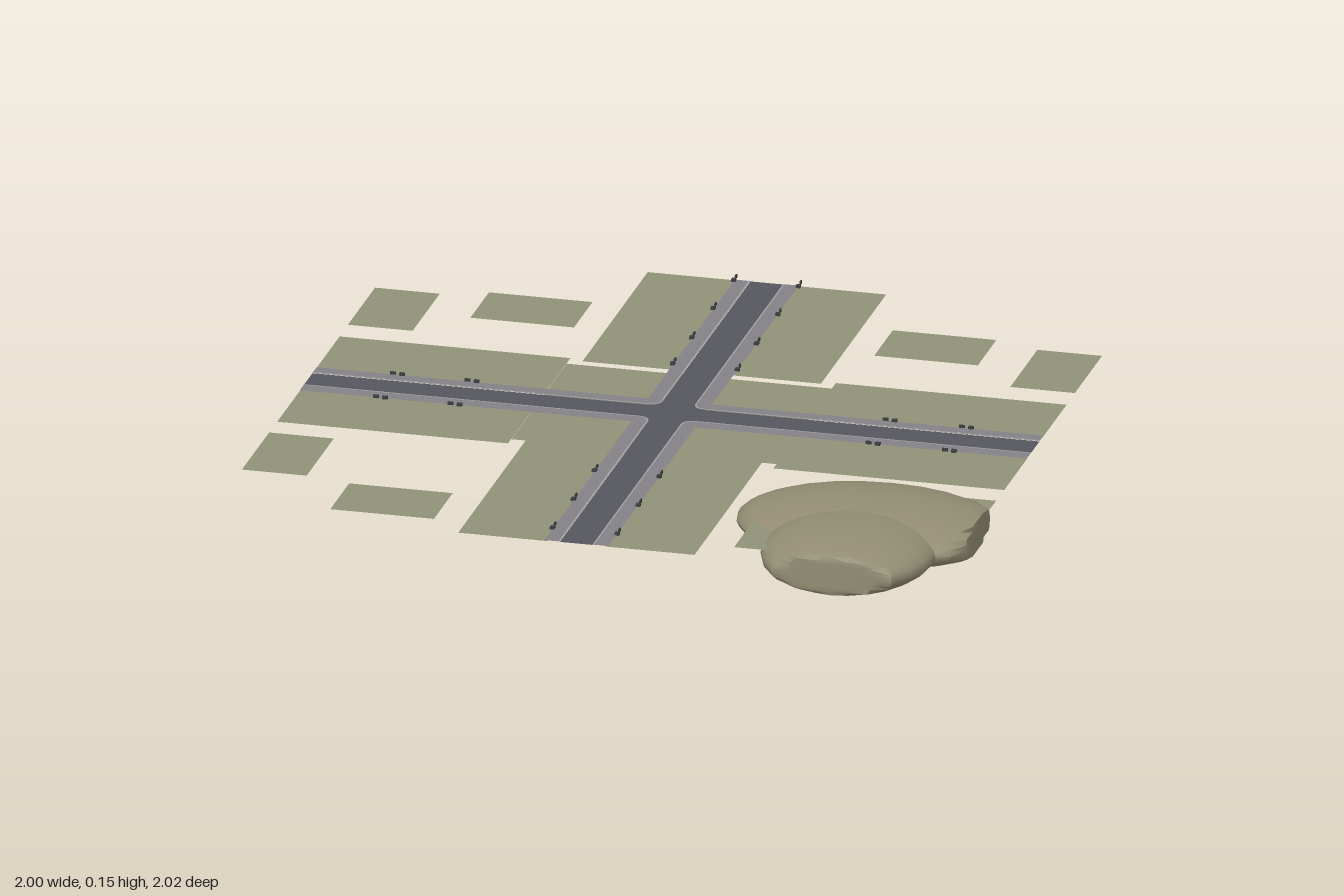
import * as THREE from 'three';
import { toCreasedNormals } from 'three/addons/utils/BufferGeometryUtils.js';

const mat = (color) => new THREE.MeshStandardMaterial({ color, side: THREE.DoubleSide });
const grass = mat(0x8f9178);
const asphalt = mat(0x55565e);
const paving = mat(0x838187);
const kerbStone = mat(0xa3a3a3);
const iron = mat(0x3c3c3e);
const hillSoil = mat(0x918c72);

const GROUND = 0.108;
const ROAD = 0.045; // half width of the roads
const WALK = 0.088; // outer edge of the pavements

// Flat rectangle given by its x and z limits
function slab(name, x0, x1, z0, z1, y, material) {
  const geo = new THREE.PlaneGeometry(x1 - x0, z1 - z0).rotateX(-Math.PI / 2);
  const mesh = new THREE.Mesh(geo, material);
  mesh.position.set((x0 + x1) / 2, y, (z0 + z1) / 2);
  mesh.name = name;
  return mesh;
}

// L-shaped strip with a rounded street corner, between two offsets from the road axes
function cornerStrip(name, inner, outer, rInner, rOuter, y, sx, sz, material) {
  const s = new THREE.Shape();
  s.moveTo(inner, 1);
  s.lineTo(inner, inner + rInner);
  s.quadraticCurveTo(inner, inner, inner + rInner, inner);
  s.lineTo(1, inner);
  s.lineTo(1, outer);
  s.lineTo(outer + rOuter, outer);
  s.quadraticCurveTo(outer, outer, outer, outer + rOuter);
  s.lineTo(outer, 1);
  const geo = new THREE.ShapeGeometry(s, 8).rotateX(-Math.PI / 2);
  // Turn each copy into its own quadrant so the faces keep pointing up
  geo.rotateY(sx > 0 ? (sz > 0 ? -Math.PI / 2 : 0) : (sz > 0 ? Math.PI : Math.PI / 2));
  const mesh = new THREE.Mesh(geo, material);
  mesh.position.y = y;
  mesh.name = name;
  return mesh;
}

// Flattened ellipsoid, cut flat at the edges of the plot
function hill(name, x, y, z, rx, ry, rz) {
  const geo = new THREE.SphereGeometry(1, 24, 16).scale(rx, ry, rz).translate(x, y, z);
  const p = geo.attributes.position;
  for (let i = 0; i < p.count; i++) {
    p.setX(i, Math.min(p.getX(i), 1));
    p.setZ(i, Math.min(p.getZ(i), 1));
  }
  const mesh = new THREE.Mesh(toCreasedNormals(geo, 0.7), hillSoil);
  mesh.name = name;
  return mesh;
}

// Tiny kerbside bench with a post next to it
function streetBench(x, z, alongX) {
  const g = new THREE.Group();
  const seat = new THREE.Mesh(new THREE.BoxGeometry(0.012, 0.007, 0.014), iron);
  seat.position.y = 0.0035;
  seat.name = 'benchSeat';
  const post = new THREE.Mesh(new THREE.BoxGeometry(0.004, 0.009, 0.015), iron);
  post.position.set(0, 0.0045, -0.025);
  post.name = 'benchPost';
  g.add(seat, post);
  if (alongX) g.rotation.y = Math.PI / 2;
  g.position.set(x, GROUND, z);
  g.name = 'streetBench';
  return g;
}

export function createModel() {
  const model = new THREE.Group();
  model.name = 'crossroads';

  // Grass: plate under the junction and verges beside each road
  model.add(slab('junctionGround', -0.365, 0.365, -0.29, 0.29, GROUND - 0.002, grass));
  for (const s of [-1, 1]) {
    const span = (a, b) => (s > 0 ? [a, b] : [-b, -a]);
    for (const t of [-1, 1]) {
      const zs = t > 0 ? [WALK - 0.008, 0.325] : [-0.33, -WALK + 0.008];
      model.add(slab('sideVerge', ...span(0.365, 1), ...zs, GROUND - 0.001, grass));
    }
    model.add(slab('backVerge', ...span(WALK - 0.008, 0.328), -1, -0.315, GROUND - 0.001, grass));
    model.add(slab('frontVerge', ...span(WALK - 0.008, 0.325), 0.285, 1, GROUND - 0.001, grass));

    // Detached lawns in the four corners
    model.add(slab('backLawn', ...span(0.413, 0.698), -0.745, -0.55, GROUND, grass));
    model.add(slab('backSideLawn', ...span(0.822, 1), -0.702, -0.417, GROUND, grass));
    model.add(slab('frontLawn', ...span(0.413, 0.698), 0.722, 0.92, GROUND, grass));
    model.add(slab('frontSideLawn', ...span(0.822, 1), 0.41, 0.695, GROUND, grass));
  }

  // Roads
  model.add(slab('sideRoad', -1, 1, -ROAD, ROAD, GROUND, asphalt));
  model.add(slab('backRoad', -ROAD, ROAD, -1, -ROAD, GROUND, asphalt));
  model.add(slab('frontRoad', -ROAD, ROAD, ROAD, 1, GROUND, asphalt));

  // Pavements, kerbs and the asphalt fillets in the rounded corners
  for (const sx of [-1, 1]) {
    for (const sz of [-1, 1]) {
      const x = sx > 0 ? [ROAD, 0.08] : [-0.08, -ROAD];
      const z = sz > 0 ? [ROAD, 0.08] : [-0.08, -ROAD];
      model.add(slab('cornerAsphalt', ...x, ...z, GROUND, asphalt));
      model.add(cornerStrip('pavement', ROAD, WALK, 0.035, 0, GROUND + 0.001, sx, sz, paving));
      model.add(cornerStrip('kerb', ROAD, ROAD + 0.004, 0.035, 0.033, GROUND + 0.002, sx, sz, kerbStone));
    }
  }

  // Benches along both roads
  for (const side of [-0.089, 0.089]) {
    for (const z of [-0.99, -0.775, -0.55, -0.35, 0.47, 0.69, 0.91]) model.add(streetBench(side, z, false));
    for (const x of [-0.765, -0.56, 0.59, 0.8]) model.add(streetBench(x, side, true));
  }

  // Two merged hills in the front left corner
  model.add(hill('wideHill', 0.71, 0.082, 0.6, 0.37, 0.076, 0.25));
  model.add(hill('frontHill', 0.7, 0.082, 0.8, 0.235, 0.077, 0.28));
  return model;
}
